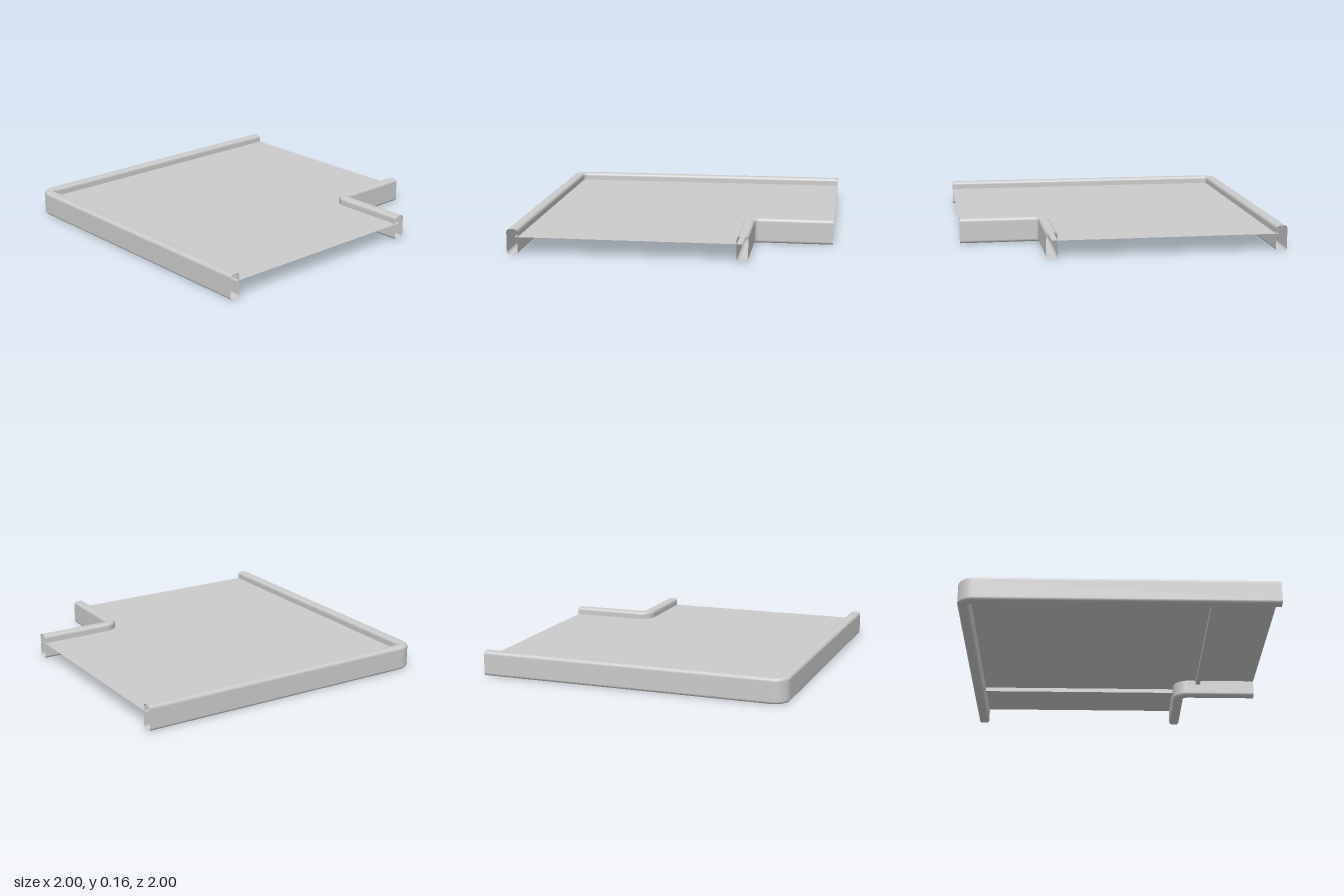
import * as THREE from 'three';

const WIDTH = 0.07, HEIGHT = 0.16, EDGE = 0.02; // wall section
const BEND = 0.065; // bend radius of the wall's centre line

// Rounded rectangle section: offset (u), height (v) and their normals
function wallSection() {
  const points = [];
  const corners = [[1, 1], [-1, 1], [-1, -1], [1, -1]];
  corners.forEach(([su, sv], k) => {
    for (let i = 0; i <= 6; i++) {
      const a = (k + i / 6) * Math.PI / 2;
      const nu = Math.cos(a), nv = Math.sin(a);
      points.push({
        u: su * (WIDTH / 2 - EDGE) + EDGE * nu,
        v: HEIGHT / 2 + sv * (HEIGHT / 2 - EDGE) + EDGE * nv,
        nu, nv,
      });
    }
  });
  return points;
}

// Hollow wall from the back edge, round a bend centred on (cx, cz), to the right edge
function bentWall(name, cx, cz, material) {
  const path = [{ x: cx - BEND, z: -1, a: Math.PI }];
  for (let i = 0; i <= 16; i++) {
    const a = Math.PI - (i / 16) * Math.PI / 2;
    path.push({ x: cx + BEND * Math.cos(a), z: cz + BEND * Math.sin(a), a });
  }
  path.push({ x: 1, z: cz + BEND, a: Math.PI / 2 });

  const section = wallSection(), n = section.length;
  const positions = [], normals = [], index = [];
  path.forEach((p, j) => {
    const ox = Math.cos(p.a), oz = Math.sin(p.a);
    section.forEach((s, i) => {
      positions.push(p.x + ox * s.u, s.v, p.z + oz * s.u);
      normals.push(ox * s.nu, s.nv, oz * s.nu);
      if (j < path.length - 1) {
        const a = j * n + i, b = j * n + (i + 1) % n, c = a + n, d = b + n;
        index.push(a, c, b, b, c, d);
      }
    });
  });
  const geometry = new THREE.BufferGeometry();
  geometry.setAttribute('position', new THREE.Float32BufferAttribute(positions, 3));
  geometry.setAttribute('normal', new THREE.Float32BufferAttribute(normals, 3));
  geometry.setIndex(index);
  const mesh = new THREE.Mesh(geometry, material);
  mesh.name = name;
  return mesh;
}

export function createModel() {
  const group = new THREE.Group();
  group.name = 'cornerTray';
  const material = new THREE.MeshStandardMaterial({ color: 0xcccccc, side: THREE.DoubleSide });

  // Outer wall and the wall round the notch
  group.add(bentWall('outerWall', -0.9, 0.9, material));
  group.add(bentWall('notchWall', 0.53, -0.53, material));

  // Thin L-shaped floor sheet, its edges tucked into the walls (shape y becomes -z)
  const outline = [[-0.95, -0.95], [1, -0.95], [1, 0.465], [0.465, 0.465], [0.465, 1], [-0.95, 1]];
  const floorGeometry = new THREE.ShapeGeometry(new THREE.Shape(outline.map(([x, y]) => new THREE.Vector2(x, y))));
  floorGeometry.rotateX(-Math.PI / 2).translate(0, 0.11, 0);
  const floor = new THREE.Mesh(floorGeometry, material);
  floor.name = 'floor';
  group.add(floor);

  // Two support ribs under the floor, one across each arm
  const ribLength = 1.4, ribMiddle = 0.25;
  const addRib = (name, sx, sz, x, z) => {
    const rib = new THREE.Mesh(new THREE.BoxGeometry(sx, 0.029, sz), material);
    rib.name = name;
    rib.position.set(x, 0.0945, z);
    group.add(rib);
  };
  addRib('rightArmRib', 0.03, ribLength, 0.6, ribMiddle);
  addRib('backArmRib', ribLength, 0.03, -ribMiddle, -0.6);

  return group;
}
